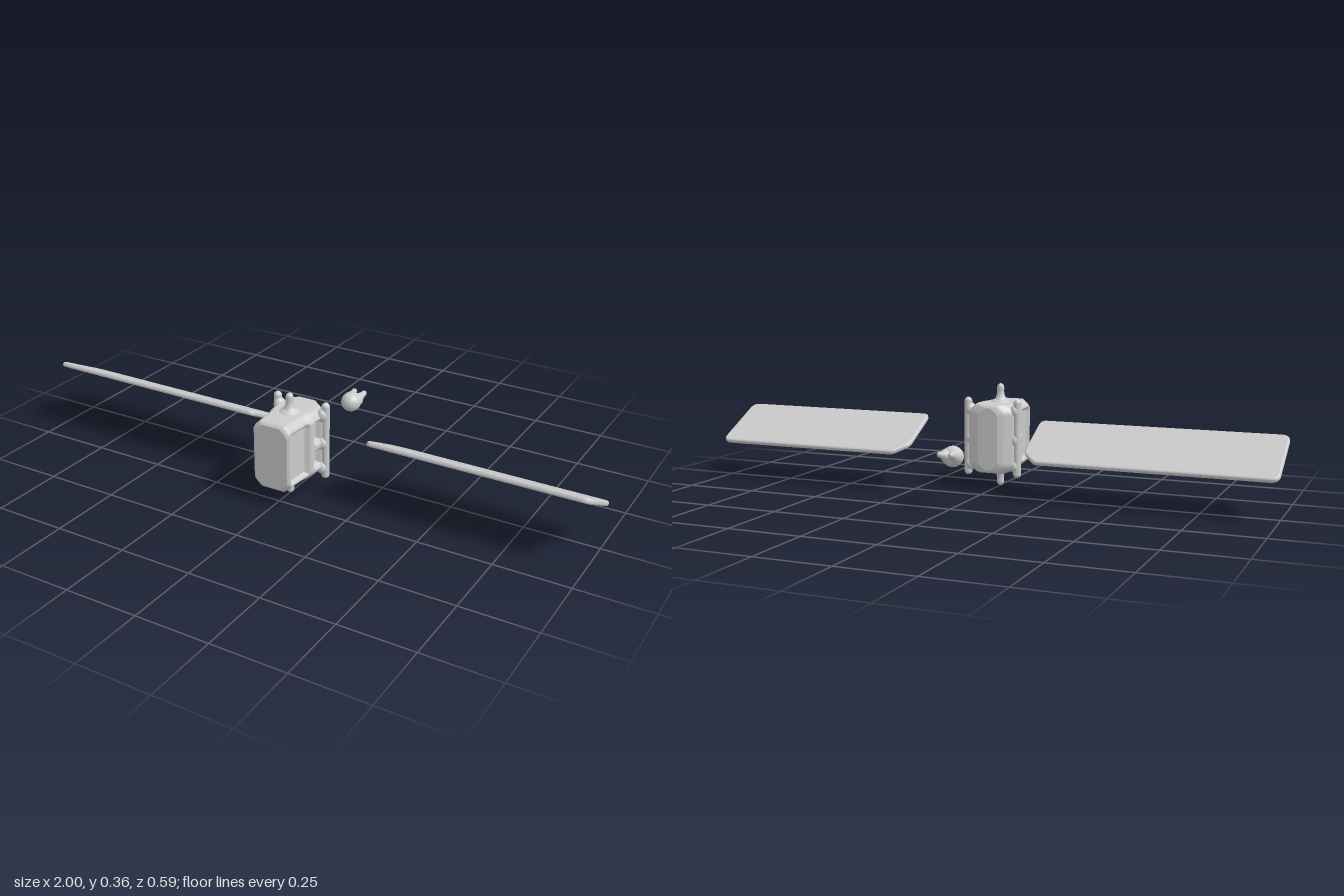
import * as THREE from 'three';
import { mergeVertices } from 'three/addons/utils/BufferGeometryUtils.js';

const grey = new THREE.MeshStandardMaterial({ color: 0xcccccc });

function add(parent, name, geometry, x = 0, y = 0, z = 0) {
  const mesh = new THREE.Mesh(geometry, grey);
  mesh.name = name;
  mesh.position.set(x, y, z);
  parent.add(mesh);
  return mesh;
}

const step = THREE.MathUtils.smoothstep;
const Z0 = 0.06, Z1 = 0.296, Y0 = 0.062, Y1 = 0.298;

// soft rectangular window: 1 inside, 0 outside
function pocket(y, z, y0, y1, z0, z1) {
  const s = 0.011;
  return step(y, y0, y0 + s) * (1 - step(y, y1 - s, y1)) *
    step(z, z0, z0 + s) * (1 - step(z, z1 - s, z1));
}

// plan outline of the hull: half width along z
const plan = [[0.06, 0.046], [0.075, 0.062], [0.092, 0.083], [0.13, 0.087],
  [0.165, 0.085], [0.195, 0.077], [0.25, 0.072], [0.296, 0.069]];
function planWidth(z) {
  for (let i = 1; i < plan.length; i++) {
    if (z <= plan[i][0] + 1e-6) {
      const t = (z - plan[i - 1][0]) / (plan[i][0] - plan[i - 1][0]);
      return THREE.MathUtils.lerp(plan[i - 1][1], plan[i][1], t);
    }
  }
  return plan[plan.length - 1][1];
}

// half width of the hull, with bevelled rims and recessed side bays
function halfWidth(y, z) {
  const edge = Math.min(y - Y0, Y1 - y);
  const rim = 0.028 * Math.pow(1 - Math.min(1, Math.max(0, edge) / 0.032), 1.6);
  return planWidth(z) - rim
    - 0.016 * pocket(y, z, 0.086, 0.272, 0.183, 0.287)
    - 0.022 * pocket(y, z, 0.098, 0.165, 0.119, 0.168)
    - 0.022 * pocket(y, z, 0.185, 0.268, 0.119, 0.168);
}

// hull lofted from closed rings along z
function hullGeometry() {
  const nz = 56, ny = 48, ring = 2 * (ny + 1), pos = [], idx = [];
  for (let i = 0; i <= nz; i++) {
    const z = Z0 + (Z1 - Z0) * i / nz;
    const d = Math.min(z - Z0, Z1 - z);
    const round = 0.01 * Math.pow(1 - Math.min(1, d / 0.012), 2);
    for (let k = 0; k < ring; k++) {
      const side = k <= ny ? 1 : -1;
      const t = (side > 0 ? k : ring - 1 - k) / ny;
      const y = Y0 + (Y1 - Y0) * t;
      const yy = THREE.MathUtils.lerp(Y0 + round, Y1 - round, t);
      pos.push(side * (halfWidth(y, z) - round), yy, z);
    }
  }
  for (let i = 0; i < nz; i++) {
    for (let k = 0; k < ring; k++) {
      const a = i * ring + k, b = i * ring + (k + 1) % ring;
      idx.push(a, b, b + ring, a, b + ring, a + ring);
    }
  }
  // flat end walls, with their own vertices for crisp edges
  for (const [row, front] of [[0, false], [nz, true]]) {
    const base = pos.length / 3;
    for (let k = 0; k < ring; k++) {
      const s = (row * ring + k) * 3;
      pos.push(pos[s], pos[s + 1], pos[s + 2]);
    }
    for (let k = 0; k < ny; k++) {
      const a = base + k, b = a + 1, c = base + ring - 2 - k, d = c + 1;
      if (front) idx.push(a, b, c, a, c, d);
      else idx.push(a, c, b, a, d, c);
    }
  }
  const g = new THREE.BufferGeometry();
  g.setAttribute('position', new THREE.Float32BufferAttribute(pos, 3));
  g.setIndex(idx);
  g.computeVertexNormals();
  return g;
}

// round peg with a flared foot
function pegGeometry() {
  const profile = [[0.04, -0.012], [0.032, 0.002], [0.022, 0.008], [0.016, 0.018],
    [0.0125, 0.032], [0.0125, 0.048], [0.011, 0.056], [0.006, 0.062], [0, 0.064]];
  const curve = new THREE.SplineCurve(profile.map(p => new THREE.Vector2(...p)));
  return new THREE.LatheGeometry(curve.getPoints(28).map(p => p.setX(Math.max(0, p.x))), 24);
}

// wing outline: x from the inner to the outer end, v up the slope
function wingGeometry(inner, outer, half) {
  const b = 0.008, x0 = inner + b, x1 = outer - b, h = half - b, r = 0.022;
  const s = new THREE.Shape();
  s.moveTo(x0 + 0.055, -h);
  s.lineTo(x1 - r, -h);
  s.quadraticCurveTo(x1, -h, x1, -h + r);
  s.lineTo(x1, h - r);
  s.quadraticCurveTo(x1, h, x1 - r, h);
  s.lineTo(x0 + 0.014, h);
  s.quadraticCurveTo(x0, h, x0, h - 0.02);
  s.lineTo(x0, -h + 0.062);
  s.quadraticCurveTo(x0, -h + 0.045, x0 + 0.012, -h + 0.033);
  s.lineTo(x0 + 0.035, -h + 0.01);
  s.quadraticCurveTo(x0 + 0.043, -h, x0 + 0.055, -h);
  let g = new THREE.ExtrudeGeometry(s, {
    depth: 0.004, bevelThickness: 0.007, bevelSize: b, bevelSegments: 4, curveSegments: 8,
  });
  g.translate(0, 0, -0.002);
  return g;
}

export function createModel() {
  const model = new THREE.Group();
  model.name = 'wingedCraft';

  // central hull
  const hull = new THREE.Group();
  hull.name = 'hull';
  model.add(hull);
  add(hull, 'hullShell', hullGeometry());

  // pegs above and below
  add(hull, 'topPeg', pegGeometry(), 0, 0.298, 0.18);
  add(hull, 'bottomPeg', pegGeometry(), 0, 0.064, 0.18).rotation.x = Math.PI;

  // upright rods on both sides, with collars where they meet the hull rims
  for (const side of [-1, 1]) {
    const name = side > 0 ? 'left' : 'right';
    add(hull, name + 'Rod', new THREE.CapsuleGeometry(0.0135, 0.246, 8, 20), side * 0.091, 0.1815, 0.107);
    for (const y of [0.085, 0.175, 0.275]) {
      const collar = add(hull, name + 'Collar', new THREE.SphereGeometry(0.02, 20, 14), side * 0.083, y, 0.11);
      collar.scale.set(0.95, 1.2, 1.1);
    }
  }

  // tilted wings, the right one reaching further in
  for (const [name, inner, side] of [['leftWing', 0.26, 1], ['rightWing', 0.16, -1]]) {
    const g = wingGeometry(inner, 1, 0.118);
    if (side < 0) {
      // half turn about the slope axis mirrors the symmetric slab
      g.rotateY(Math.PI);
    }
    add(model, name, g, 0, 0.184, 0.05).rotation.x = THREE.MathUtils.degToRad(62.4);
  }

  // small pod behind, with two prongs
  const pod = new THREE.Group();
  pod.name = 'rearPod';
  pod.position.set(0, 0.168, -0.227);
  model.add(pod);
  const ball = add(pod, 'podBall', new THREE.SphereGeometry(0.035, 32, 20));
  ball.scale.set(1, 0.98, 1.03);
  const prong = [[0.027, 0], [0.022, 0.016], [0.014, 0.032], [0.0105, 0.045], [0.0095, 0.055], [0.006, 0.06], [0, 0.062]]
    .map(p => new THREE.Vector2(...p));
  for (const side of [-1, 1]) {
    const p = add(pod, side > 0 ? 'leftProng' : 'rightProng',
      mergeVertices(new THREE.LatheGeometry(prong, 20)), side * 0.011, 0.002, -0.008);
    p.quaternion.setFromUnitVectors(new THREE.Vector3(0, 1, 0),
      new THREE.Vector3(side * 0.17, 0.24, -1).normalize());
  }
  return model;
}
